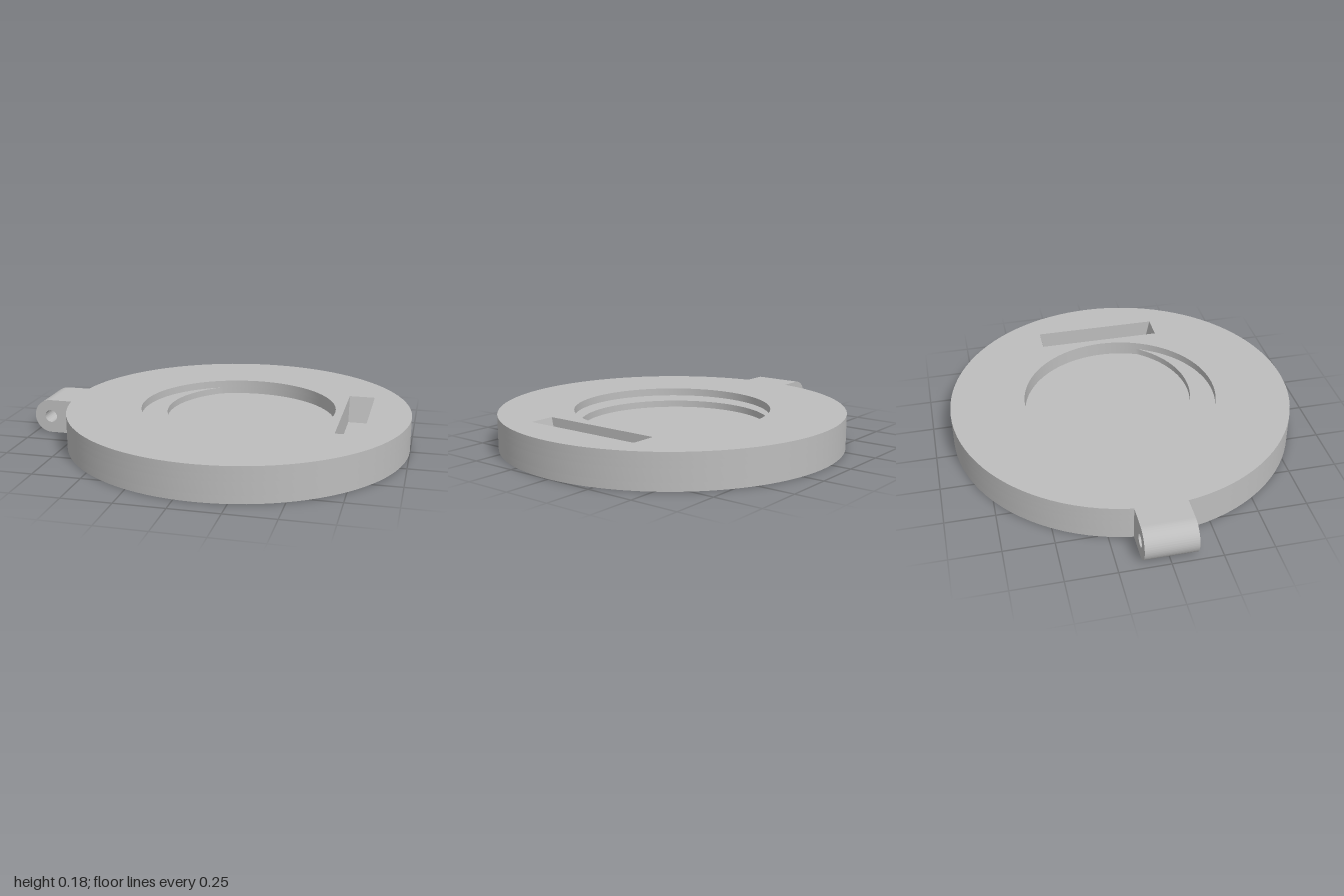
import * as THREE from 'three';
import { toCreasedNormals } from 'three/addons/utils/BufferGeometryUtils.js';

const grey = new THREE.MeshStandardMaterial({ color: 0xbdbdbd });
grey.name = 'plain grey';

const CX = 0.1; // disc centre in x
const SEG = 48;

// Flat outlines are drawn in x and -z, then stood up along y.
const circle = (r) => new THREE.Path().absarc(CX, 0, r, 0, Math.PI * 2, false);

function rect(x0, x1, z) {
  return new THREE.Path([[x0, -z], [x1, -z], [x1, z], [x0, z]].map((p) => new THREE.Vector2(...p))).closePath();
}

// Overlap of the recess with a smaller circle shifted along the diagonal
function lens(R, r, shift) {
  const d = shift * Math.SQRT2;
  const a = (d * d + R * R - r * r) / (2 * d);
  const big = Math.acos(a / R);
  const small = Math.acos((a - d) / r);
  const mid = Math.PI / 4;
  return new THREE.Path()
    .absarc(CX, 0, R, mid - big, mid + big, false)
    .absarc(CX + shift, shift, r, mid + small, mid + Math.PI * 2 - small, false);
}

function extrude(shape, depth) {
  return new THREE.ExtrudeGeometry(shape, { depth, bevelEnabled: false, curveSegments: SEG });
}

function add(group, name, geometry) {
  const mesh = new THREE.Mesh(toCreasedNormals(geometry, 0.5), grey);
  mesh.name = name;
  group.add(mesh);
  return mesh;
}

export function createModel() {
  const model = new THREE.Group();
  model.name = 'discCase';

  // Round body, stacked in layers with the openings each level needs
  const slot = () => rect(0.65, 0.785, 0.33);
  const notch = () => rect(0.88, 0.97, 0.07);
  const layers = [
    ['bodyBase', 0, 0.04, [notch()]],
    ['bodyMiddle', 0.04, 0.105, [notch(), slot()]],
    ['bodyInnerStep', 0.105, 0.14, [slot(), lens(0.51, 0.48, 0.085)]],
    ['bodyTop', 0.14, 0.18, [slot(), circle(0.51)]],
  ];
  for (const [name, y0, y1, holes] of layers) {
    const shape = new THREE.Shape().absarc(CX, 0, 0.9, 0, Math.PI * 2, false);
    shape.holes.push(...holes);
    add(model, name, extrude(shape, y1 - y0).rotateX(-Math.PI / 2).translate(0, y0, 0));
  }

  // Sloping ends of the strap slot
  for (const side of [1, -1]) {
    const wedge = new THREE.Shape([[0, 0], [0.03, 0], [0, 0.14]].map((p) => new THREE.Vector2(...p)));
    const g = extrude(wedge, 0.135).translate(0, 0, -0.0675).rotateY(side * Math.PI / 2);
    add(model, 'slotEnd', g).position.set(0.7175, 0.04, side * 0.33);
  }

  // Hinge lug with a rounded end and a pin hole
  const lug = new THREE.Shape();
  lug.moveTo(-0.77, 0);
  lug.lineTo(-0.77, 0.18);
  lug.lineTo(-0.91, 0.18);
  lug.absarc(-0.91, 0.09, 0.09, Math.PI / 2, Math.PI * 1.5, false);
  lug.closePath();
  lug.holes.push(new THREE.Path().absarc(-0.91, 0.09, 0.033, 0, Math.PI * 2, false));
  add(model, 'hingeLug', extrude(lug, 0.26).translate(0, 0, -0.13));

  return model;
}
